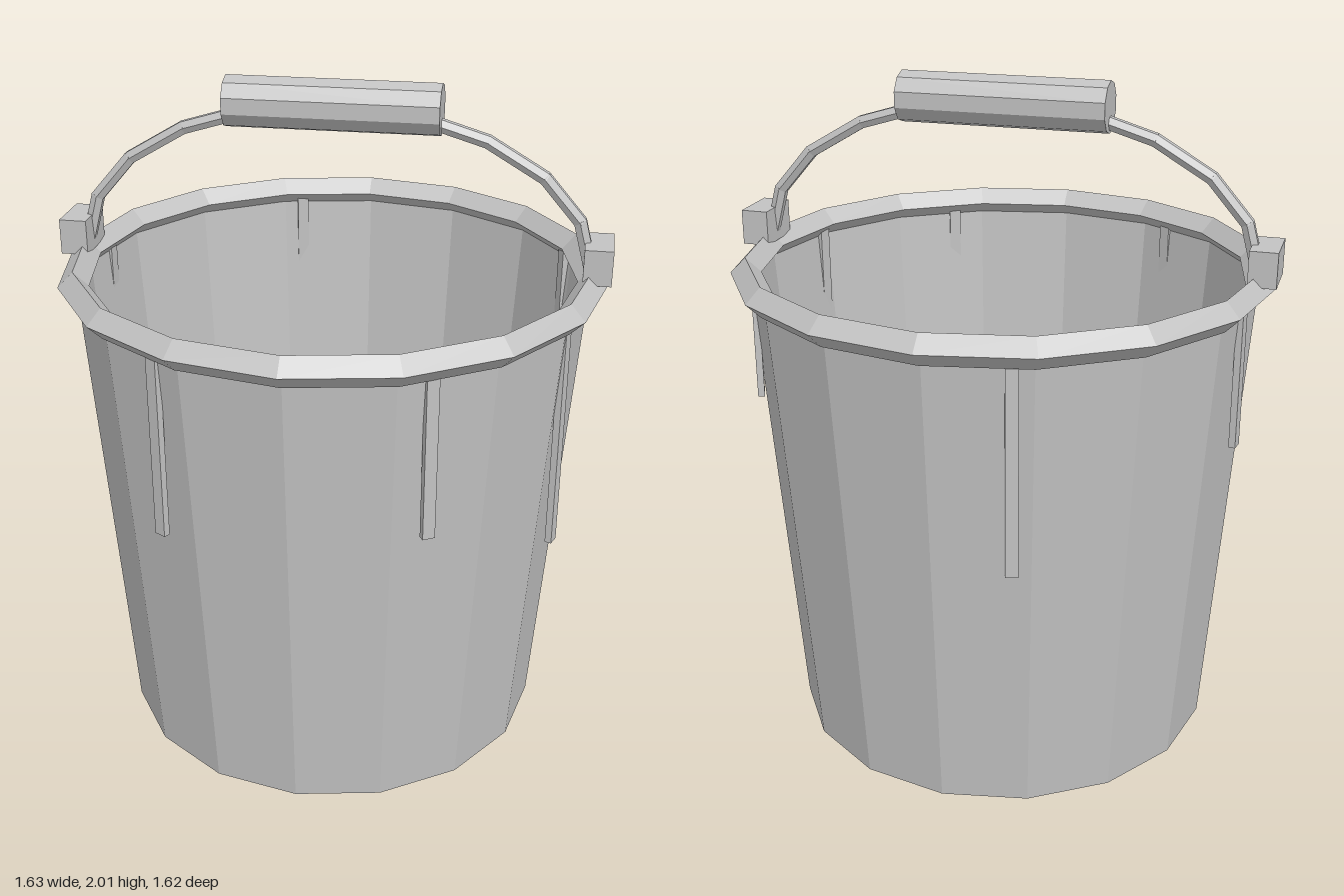
import * as THREE from 'three';

export function createModel() {
  const model = new THREE.Group();
  const metal = new THREE.MeshStandardMaterial({ color: 0xc2c2c2, flatShading: true, side: THREE.DoubleSide });
  metal.name = 'grey metal';

  const SIDES = 16;
  const add = (name, geometry, parent = model) => {
    const mesh = new THREE.Mesh(geometry, metal);
    mesh.name = name;
    parent.add(mesh);
    return mesh;
  };

  // Tapered thin wall and flat floor
  const wallHeight = 1.445;
  add('wall', new THREE.CylinderGeometry(0.755, 0.65, wallHeight, SIDES, 1, true)).position.y = wallHeight / 2;
  // Floor starts a quarter turn on so its corners meet the wall
  const floor = add('floor', new THREE.CircleGeometry(0.65, SIDES));
  floor.rotation.x = Math.PI / 2;

  // Diamond-section rim
  const rim = add('rim', new THREE.TorusGeometry(0.763, 0.045, 4, SIDES));
  rim.rotation.x = Math.PI / 2;
  rim.position.y = 1.445;

  // Lugs holding the handle
  for (const side of [1, -1]) {
    const name = side > 0 ? 'leftLug' : 'rightLug';
    add(name, new THREE.BoxGeometry(0.082, 0.105, 0.16)).position.set(side * 0.772, 1.517, 0);
  }

  // Wire handle: straight rods along a half ellipse
  const handle = new THREE.Group();
  handle.name = 'handle';
  model.add(handle);
  const up = new THREE.Vector3(0, 1, 0);
  const point = (i) => {
    const a = (i / 10) * Math.PI;
    return new THREE.Vector3(0.75 * Math.cos(a), 1.49 + 0.44 * Math.sin(a), 0);
  };
  for (let i = 0; i < 10; i++) {
    const a = point(i), b = point(i + 1);
    const dir = b.clone().sub(a);
    const rod = add('handleRod', new THREE.CylinderGeometry(0.021, 0.021, dir.length() + 0.008, 6), handle);
    rod.position.copy(a).add(b).multiplyScalar(0.5);
    rod.quaternion.setFromUnitVectors(up, dir.normalize());
  }

  // Ten-sided grip, flat side up
  const grip = new THREE.CylinderGeometry(0.075, 0.075, 0.62, 10);
  grip.rotateY(Math.PI / 2).rotateZ(Math.PI / 2);
  add('grip', grip, handle).position.y = 1.93;

  // Drips hanging below the rim: [angle from +x towards +z, lower end]
  const drips = [[60, 0.93], [20, 0.725], [-25, 1.07], [-108, 0.8], [190, 1.0], [120, 0.865]];
  const dripTop = 1.43;
  for (const [degrees, bottom] of drips) {
    const a = THREE.MathUtils.degToRad(degrees);
    const drip = add('drip', new THREE.BoxGeometry(0.02, dripTop - bottom, 0.036));
    drip.position.set(0.74 * Math.cos(a), (dripTop + bottom) / 2, 0.74 * Math.sin(a));
    drip.rotation.y = -a;
  }

  return model;
}
